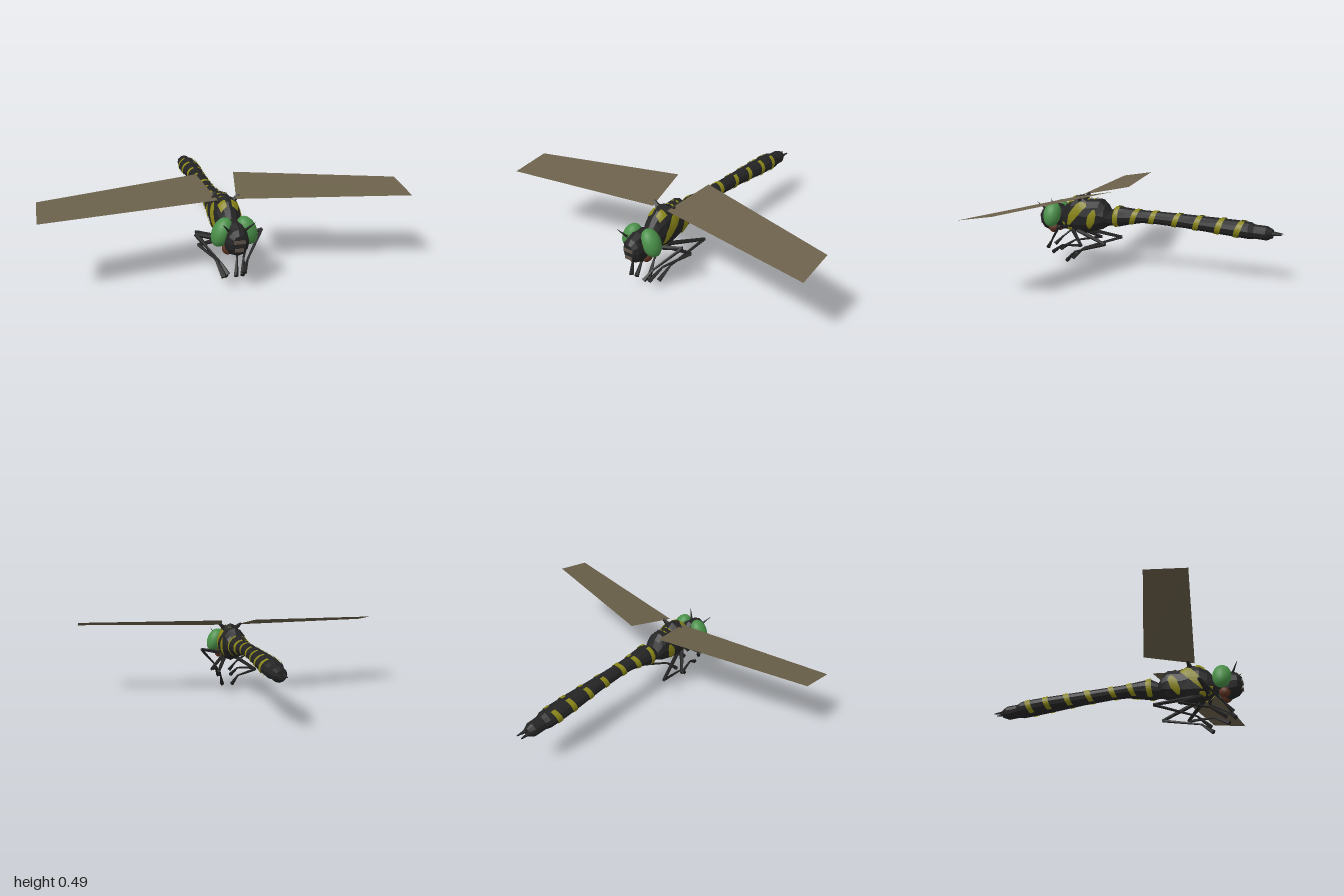
import * as THREE from 'three';

const mat = (name, color, side = THREE.FrontSide) => {
  const m = new THREE.MeshStandardMaterial({ color, side });
  m.name = name;
  return m;
};

// Triangles from a grid of points, faceted
function gridGeometry(rows) {
  const pos = [];
  for (let i = 0; i < rows.length - 1; i++) {
    for (let j = 0; j < rows[i].length - 1; j++) {
      const a = rows[i][j], b = rows[i][j + 1], c = rows[i + 1][j], d = rows[i + 1][j + 1];
      pos.push(...a, ...b, ...c, ...b, ...d, ...c);
    }
  }
  const g = new THREE.BufferGeometry();
  g.setAttribute('position', new THREE.Float32BufferAttribute(pos, 3));
  g.computeVertexNormals();
  return g;
}

// Point on a body given by rings [z, centreY, halfWidth, halfHeight]; angle runs from the top towards +x
function bodyPoint(rings, z, angle, side = 1, lift = 0) {
  let i = 0;
  while (i < rings.length - 2 && z < rings[i + 1][0]) i++;
  const p = rings[i], q = rings[i + 1];
  const t = THREE.MathUtils.clamp((p[0] - z) / (p[0] - q[0]), 0, 1);
  const v = (k) => p[k] + (q[k] - p[k]) * t;
  return [side * (v(2) + lift) * Math.sin(angle), v(1) + (v(3) + lift) * Math.cos(angle), z];
}

function loft(rings, sides = 12) {
  const first = rings[0], last = rings[rings.length - 1];
  const all = [[first[0], first[1], 0, 0], ...rings, [last[0], last[1], 0, 0]];
  return gridGeometry(all.map(([z, y, w, h]) => Array.from({ length: sides + 1 }, (_, j) => {
    const a = (j / sides) * Math.PI * 2;
    return [w * Math.sin(a), y + h * Math.cos(a), z];
  })));
}

// Thin marking lying on a body, along a path of [z, angle, halfWidth]
function marking(rings, path, side) {
  const n = 12, cols = 6, rows = [];
  for (let i = 0; i <= n; i++) {
    const f = (i / n) * (path.length - 1);
    const k = Math.min(Math.floor(f), path.length - 2);
    const [z, a, w] = path[k].map((v, m) => v + (path[k + 1][m] - v) * (f - k));
    rows.push(Array.from({ length: cols + 1 }, (_, j) =>
      bodyPoint(rings, z + w * (2 * j / cols - 1), a, side, 0.004)));
  }
  return gridGeometry(rows);
}

// Tapered rod between two points
function rod(p, q, r0, r1, sides = 5) {
  const a = new THREE.Vector3(...p), b = new THREE.Vector3(...q);
  const d = b.clone().sub(a);
  const g = new THREE.CylinderGeometry(r1, r0, d.length(), sides).toNonIndexed();
  g.computeVertexNormals();
  g.applyQuaternion(new THREE.Quaternion().setFromUnitVectors(new THREE.Vector3(0, 1, 0), d.normalize()));
  const m = a.add(b).multiplyScalar(0.5);
  return g.translate(m.x, m.y, m.z);
}

export function createModel() {
  const model = new THREE.Group();
  model.name = 'dragonfly';
  const black = mat('bodyBlack', 0x242424);
  const yellow = mat('markingYellow', 0x8a8618, THREE.DoubleSide);
  const green = mat('eyeGreen', 0x4a9049);
  const wingBrown = mat('wingBrown', 0x6a604a, THREE.DoubleSide);
  const rust = mat('jawRust', 0x5c3222);
  const taupe = mat('faceTaupe', 0x5c5248);
  const add = (name, geometry, material) => {
    const m = new THREE.Mesh(geometry, material);
    m.name = name;
    model.add(m);
    return m;
  };

  // Body sections, front to back
  const head = [
    [0.795, 0.275, 0.035, 0.045], [0.772, 0.275, 0.058, 0.072], [0.72, 0.275, 0.066, 0.092],
    [0.66, 0.295, 0.06, 0.075], [0.62, 0.29, 0.035, 0.045],
  ];
  const thorax = [
    [0.645, 0.285, 0.038, 0.045], [0.6, 0.295, 0.06, 0.095], [0.555, 0.308, 0.075, 0.117],
    [0.49, 0.315, 0.08, 0.125], [0.45, 0.307, 0.08, 0.107], [0.36, 0.322, 0.076, 0.098],
    [0.325, 0.315, 0.068, 0.07], [0.295, 0.295, 0.052, 0.04],
  ];
  const abdomen = [
    [0.32, 0.295, 0.05, 0.038], [0.25, 0.314, 0.065, 0.066], [0.18, 0.32, 0.058, 0.054],
    [0.09, 0.325, 0.045, 0.041], [0, 0.325, 0.041, 0.04], [-0.2, 0.318, 0.046, 0.043],
    [-0.4, 0.307, 0.059, 0.048], [-0.52, 0.3, 0.062, 0.051], [-0.6, 0.294, 0.058, 0.051],
    [-0.63, 0.29, 0.046, 0.042], [-0.7, 0.286, 0.044, 0.043], [-0.735, 0.286, 0.025, 0.026],
  ];
  add('head', loft(head), black);
  add('thorax', loft(thorax), black);
  add('abdomen', loft(abdomen), black);

  // Face plates
  for (const [y, w, z] of [[0.287, 0.062, 0.796], [0.243, 0.046, 0.796]]) {
    add('facePlate', new THREE.BoxGeometry(w, 0.018, 0.009).translate(0, y, z), taupe);
  }

  // Abdomen bands: [z at top, start angle, slant]
  const bands = [
    [0.24, 0.25, 0.008], [0.105, 0.15, 0.04], [-0.012, 0, 0.032], [-0.165, 0.3, 0.035],
    [-0.302, 0.25, 0.035], [-0.44, 0.2, 0.035], [-0.56, 0.35, 0.04],
  ];
  // Thorax markings as [z, angle, halfWidth] paths
  const thoraxMarks = [
    [[0.455, 0.72, 0.008], [0.475, 0.95, 0.034], [0.525, 1.5, 0.04], [0.575, 2.1, 0.01]],
    [[0.385, 1.2, 0.008], [0.395, 1.5, 0.028], [0.41, 2.0, 0.028], [0.425, 2.4, 0.008]],
    [[0.56, 0.2, 0.022], [0.56, 0.75, 0.028]],
    [[0.57, 2.25, 0.02], [0.565, 2.6, 0.018]],
    [[0.617, 1.95, 0.012], [0.61, 2.6, 0.014]],
    [[0.445, 0.06, 0.006], [0.445, 0.32, 0.006]],
    [[0.4, 0.06, 0.006], [0.4, 0.32, 0.006]],
  ];

  // Legs: hip, knee, ankle, toe
  const legs = {
    front: [[0.035, 0.225, 0.6], [0.185, 0.258, 0.57], [0.075, 0.14, 0.69], [0.045, 0.085, 0.738]],
    middle: [[0.035, 0.215, 0.56], [0.14, 0.14, 0.44], [0.075, 0.115, 0.61], [0.045, 0.055, 0.7]],
    hind: [[0.035, 0.21, 0.52], [0.12, 0.155, 0.285], [0.06, 0.075, 0.53], [0.035, 0.005, 0.605]],
  };

  for (const s of [1, -1]) {
    const side = s > 0 ? 'left' : 'right';
    const flip = ([x, y, z]) => [s * x, y, z];

    for (const [z, a, slant] of bands) {
      add(side + 'AbdomenBand',
        marking(abdomen, [[z, a, 0.015], [z + slant * 0.4, 1.4, 0.018], [z + slant, 2.65, 0.016]], s), yellow);
    }
    for (const path of thoraxMarks) add(side + 'ThoraxMark', marking(thorax, path, s), yellow);

    // Compound eye, leaning in at the top
    const eye = add(side + 'Eye', new THREE.SphereGeometry(1, 20, 14), green);
    eye.scale.set(0.052, 0.082, 0.056);
    eye.rotation.z = s * 0.4;
    eye.position.set(s * 0.068, 0.308, 0.688);

    // Jaw and antenna
    const jaw = add(side + 'Jaw', new THREE.SphereGeometry(1, 10, 8), rust);
    jaw.scale.set(0.03, 0.032, 0.035);
    jaw.position.set(s * 0.038, 0.216, 0.695);
    add(side + 'Antenna', rod(flip([0.045, 0.335, 0.75]), flip([0.085, 0.385, 0.785]), 0.008, 0.001), black);

    // Wing and its root
    add(side + 'Wing', gridGeometry([
      [[0.05, 0.427, 0.53], [1, 0.43, 0.69]].map(flip),
      [[0.11, 0.485, 0.23], [1, 0.467, 0.465]].map(flip),
    ]), wingBrown);
    add(side + 'WingRoot', rod(flip([0.03, 0.4, 0.5]), flip([0.075, 0.438, 0.49]), 0.02, 0.008), black);

    // Legs with flared feet
    for (const [name, points] of Object.entries(legs)) {
      const [hip, knee, ankle, toe] = points.map(flip);
      const leg = side + name[0].toUpperCase() + name.slice(1);
      add(leg + 'Thigh', rod(hip, knee, 0.014, 0.01), black);
      add(leg + 'Shin', rod(knee, ankle, 0.01, 0.006), black);
      add(leg + 'Foot', rod(ankle, toe, 0.006, 0.014), black);
    }

    // Tail clasper
    add(side + 'TailClasper', rod(flip([0.015, 0.286, -0.72]), flip([0.018, 0.285, -0.79]), 0.014, 0.003), black);
  }
  return model;
}
